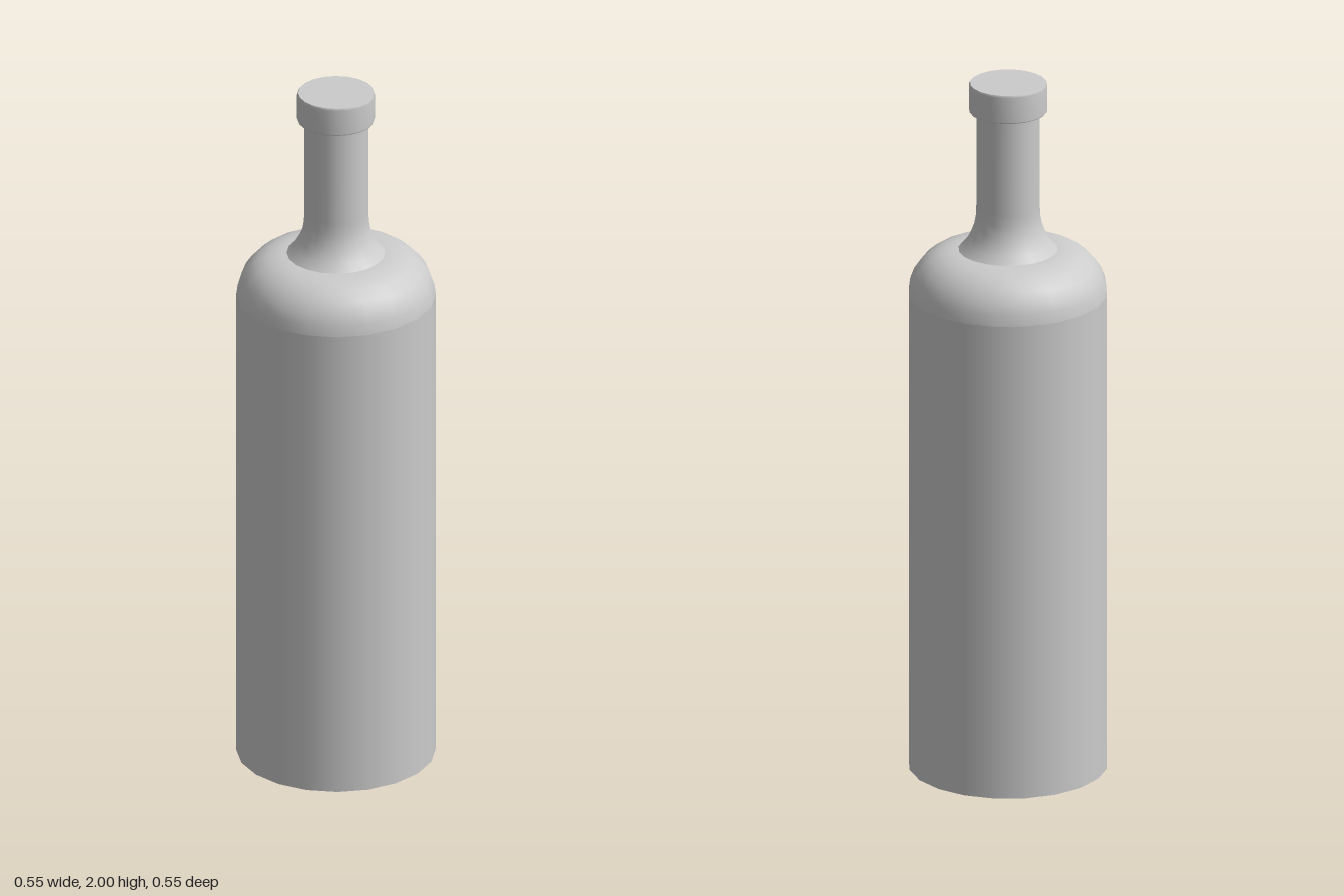
import * as THREE from 'three';

const SIDES = 20;

export function createModel() {
  const bottle = new THREE.Group();
  bottle.name = 'bottle';
  const material = new THREE.MeshStandardMaterial({ color: 0xcccccc });

  // Revolves a bottom-to-top [radius, height] profile; separate pieces keep creases sharp
  const turn = (parent, name, profile) => {
    const points = profile.map(([r, y]) => new THREE.Vector2(r, y));
    const mesh = new THREE.Mesh(new THREE.LatheGeometry(points, SIDES), material);
    mesh.name = name;
    parent.add(mesh);
  };

  // Flat base and straight body with rounded shoulder
  turn(bottle, 'base', [[0, 0], [0.275, 0]]);
  turn(bottle, 'body', [[0.275, 0], [0.275, 1.385]]);
  turn(bottle, 'shoulder', [
    [0.275, 1.385], [0.271, 1.415], [0.26, 1.444], [0.242, 1.47],
    [0.218, 1.491], [0.19, 1.505], [0.16, 1.512], [0.137, 1.513],
  ]);

  // Neck flaring out where it meets the shoulder
  turn(bottle, 'neck', [
    [0.137, 1.513], [0.118, 1.533], [0.104, 1.557], [0.094, 1.583],
    [0.089, 1.61], [0.088, 1.64], [0.088, 1.92],
  ]);

  // Cap with a slightly softened rim
  const cap = new THREE.Group();
  cap.name = 'cap';
  turn(cap, 'capUnderside', [[0.08, 1.918], [0.106, 1.918]]);
  turn(cap, 'capSide', [[0.106, 1.918], [0.108, 1.922], [0.108, 1.994], [0.105, 2]]);
  turn(cap, 'capTop', [[0.105, 2], [0, 2]]);
  bottle.add(cap);

  return bottle;
}
